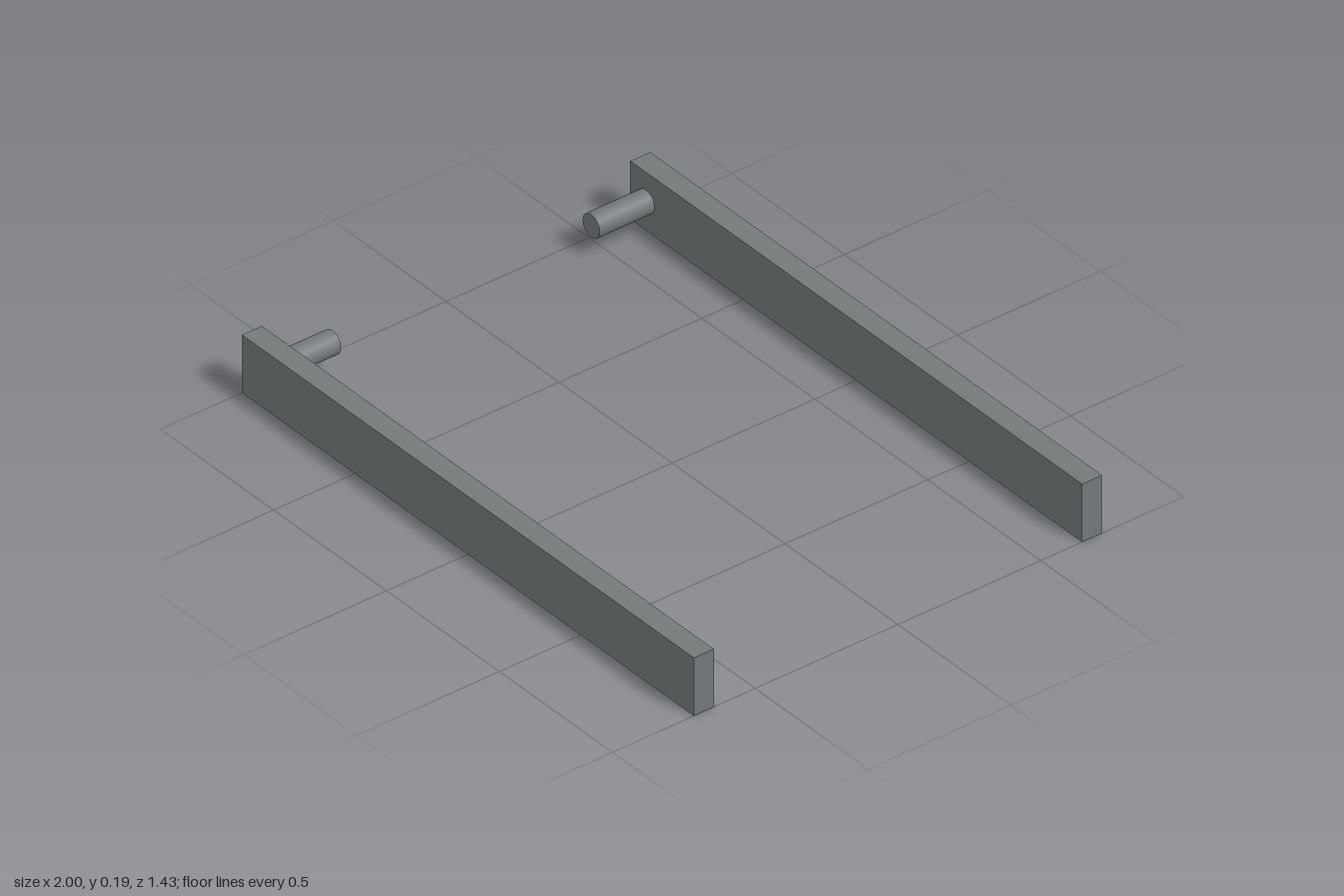
import * as THREE from 'three';

export function createModel() {
  const model = new THREE.Group();
  model.name = 'pairOfArms';
  const steel = new THREE.MeshStandardMaterial({ color: 0x73787a });
  steel.name = 'steel grey';

  const height = 0.193, inner = 0.645, outer = 0.715, pegEnd = 0.453;

  // Flat bar with a round pivot pin pointing inward
  const barGeometry = new THREE.BoxGeometry(2, height, outer - inner);
  const pinGeometry = new THREE.CylinderGeometry(0.038, 0.038, inner - pegEnd, 32);
  pinGeometry.rotateX(Math.PI / 2);

  for (const side of [1, -1]) {
    const arm = new THREE.Group();
    arm.name = side > 0 ? 'frontArm' : 'backArm';

    const bar = new THREE.Mesh(barGeometry, steel);
    bar.name = 'bar';
    bar.position.set(0, height / 2, side * (inner + outer) / 2);

    const pin = new THREE.Mesh(pinGeometry, steel);
    pin.name = 'pivotPin';
    pin.position.set(-0.93, height / 2, side * (inner + pegEnd) / 2);

    arm.add(bar, pin);
    model.add(arm);
  }
  return model;
}
